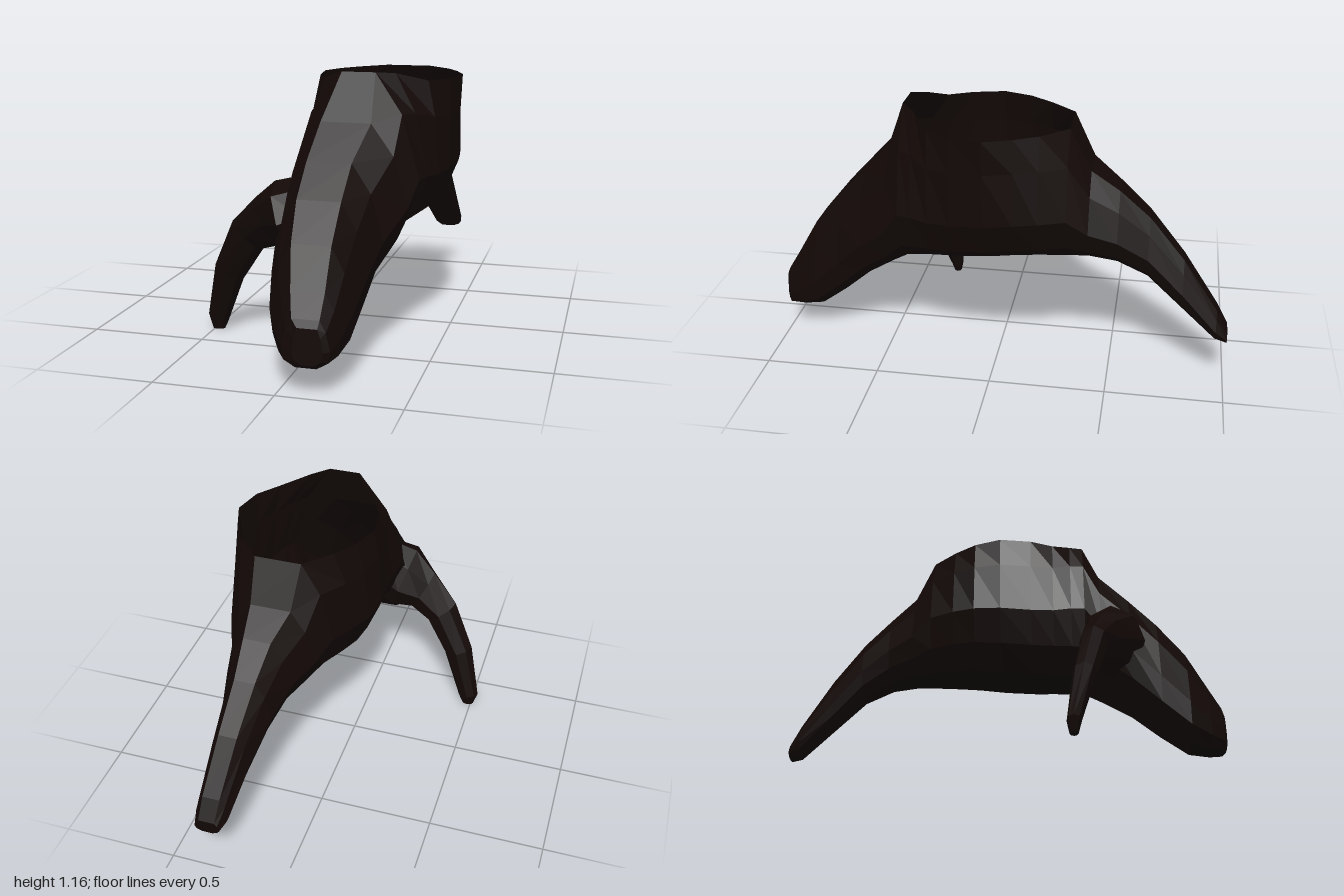
import * as THREE from 'three';

// Skin closed rings (each counter-clockwise about the direction of travel), with fan caps.
// isOpen(ring, side) leaves out a face.
function loft(rings, isOpen = () => false) {
  const n = rings[0].length;
  const pos = rings.flat().flatMap((p) => [p.x, p.y, p.z]);
  const index = [];
  for (let r = 0; r < rings.length - 1; r++) {
    for (let i = 0; i < n; i++) {
      if (isOpen(r, i)) continue;
      const a = r * n + i, b = r * n + (i + 1) % n;
      index.push(a, b, b + n, a, b + n, a + n);
    }
  }
  [0, rings.length - 1].forEach((r, end) => {
    const c = new THREE.Vector3();
    rings[r].forEach((p) => c.addScaledVector(p, 1 / n));
    const k = pos.length / 3;
    pos.push(c.x, c.y, c.z);
    for (let i = 0; i < n; i++) {
      const a = r * n + i, b = r * n + (i + 1) % n;
      if (end) index.push(k, a, b);
      else index.push(k, b, a);
    }
  });
  const g = new THREE.BufferGeometry();
  g.setAttribute('position', new THREE.Float32BufferAttribute(pos, 3));
  g.setIndex(index);
  g.computeVertexNormals();
  return g;
}

// Upright cross-section: flanks x0..x1, top edge t0..t1, belly of relative width b.
function section([z, x0, x1, y0, y1, t0, t1, b = 0.81]) {
  const cx = (x0 + x1) / 2;
  const half = (flank, top) => [
    [cx + (flank - cx) * b * 0.48, 0],
    [cx + (flank - cx) * b, 0.14],
    [flank, 0.38],
    [flank * 0.6 + top * 0.4, 0.76],
    [top, 1],
  ];
  const outline = [...half(x1, t1), ...half(x0, t0).reverse()];
  return outline.map(([x, v]) => new THREE.Vector3(x, y0 + v * (y1 - y0), z));
}

// Elliptical rings square to a path lying mostly in the xy plane.
function pathRings(stations, sides) {
  return stations.map(([x, y, z, h, w], i) => {
    const p = stations[Math.max(i - 1, 0)], q = stations[Math.min(i + 1, stations.length - 1)];
    const d = new THREE.Vector2(q[0] - p[0], q[1] - p[1]).normalize();
    return Array.from({ length: sides }, (_, k) => {
      const a = (k / sides) * Math.PI * 2;
      const c = Math.cos(a) * h;
      return new THREE.Vector3(x - d.y * c, y + d.x * c, z + Math.sin(a) * w);
    });
  });
}

export function createModel() {
  const group = new THREE.Group();
  group.name = 'treeStump';
  const bark = new THREE.MeshStandardMaterial({
    color: 0x120806, flatShading: true, side: THREE.DoubleSide,
  });
  const add = (name, geometry) => {
    const mesh = new THREE.Mesh(geometry, bark);
    mesh.name = name;
    group.add(mesh);
  };

  // Back root, arching up to the trunk: z, x0, x1, y0, y1, t0, t1
  const backRoot = [
    [-1.0, 0.27, 0.38, 0.21, 0.27, 0.29, 0.36],
    [-0.95, 0.245, 0.39, 0.22, 0.36, 0.28, 0.355],
    [-0.8, 0.205, 0.38, 0.35, 0.575, 0.25, 0.33],
    [-0.65, 0.155, 0.375, 0.48, 0.75, 0.22, 0.31],
    [-0.52, 0.11, 0.4, 0.54, 0.865, 0.195, 0.315],
    [-0.4, 0.05, 0.425, 0.555, 0.95, 0.15, 0.325],
  ];
  // Trunk, whose top edges form the rim
  const trunk = [
    [-0.31, 0.0, 0.46, 0.555, 1.13, 0.13, 0.33],
    [-0.2, -0.06, 0.495, 0.55, 1.13, 0.03, 0.435],
    [-0.1, -0.1, 0.51, 0.54, 1.13, -0.04, 0.49],
    [0.02, -0.115, 0.522, 0.525, 1.13, -0.08, 0.533],
    [0.16, -0.105, 0.505, 0.51, 1.125, -0.06, 0.505],
    [0.26, -0.105, 0.48, 0.5, 1.125, -0.01, 0.43],
    [0.34, -0.11, 0.45, 0.485, 1.16, 0.07, 0.31],
    [0.4, -0.115, 0.425, 0.47, 1.167, 0.1, 0.24],
  ];
  // Thick front root with a blunt tip
  const frontRoot = [
    [0.47, -0.12, 0.395, 0.425, 0.97, 0.03, 0.24, 0.83],
    [0.6, -0.12, 0.325, 0.33, 0.83, 0.01, 0.195, 0.86],
    [0.72, -0.1, 0.29, 0.225, 0.7, 0.005, 0.185, 0.91],
    [0.84, -0.07, 0.265, 0.135, 0.555, 0.02, 0.18, 0.93],
    [0.93, -0.015, 0.24, 0.12, 0.4, 0.045, 0.18, 0.93],
    [0.985, 0.025, 0.215, 0.12, 0.31, 0.065, 0.175, 0.92],
    [1.0, 0.07, 0.19, 0.135, 0.28, 0.09, 0.17, 0.9],
  ];
  // The hollow trunk has no top between the two ends of the rim
  const first = backRoot.length, last = first + trunk.length - 1;
  const isTop = (r, i) => i === 4 && r >= first && r < last;
  add('hollowTrunkWithFrontAndBackRoots',
    loft([...backRoot, ...trunk, ...frontRoot].map(section), isTop));

  // Slim root bending down on the right: x, y, z, half height, half depth
  const sideRoot = [
    [0.0, 0.61, 0.52, 0.15, 0.12],
    [-0.1, 0.575, 0.515, 0.16, 0.145],
    [-0.2, 0.543, 0.475, 0.112, 0.085],
    [-0.305, 0.467, 0.43, 0.088, 0.06],
    [-0.41, 0.285, 0.385, 0.07, 0.05],
    [-0.485, 0.055, 0.337, 0.048, 0.03],
    [-0.485, 0.004, 0.335, 0.028, 0.018],
  ];
  add('sideRoot', loft(pathRings(sideRoot, 8)));
  return group;
}
